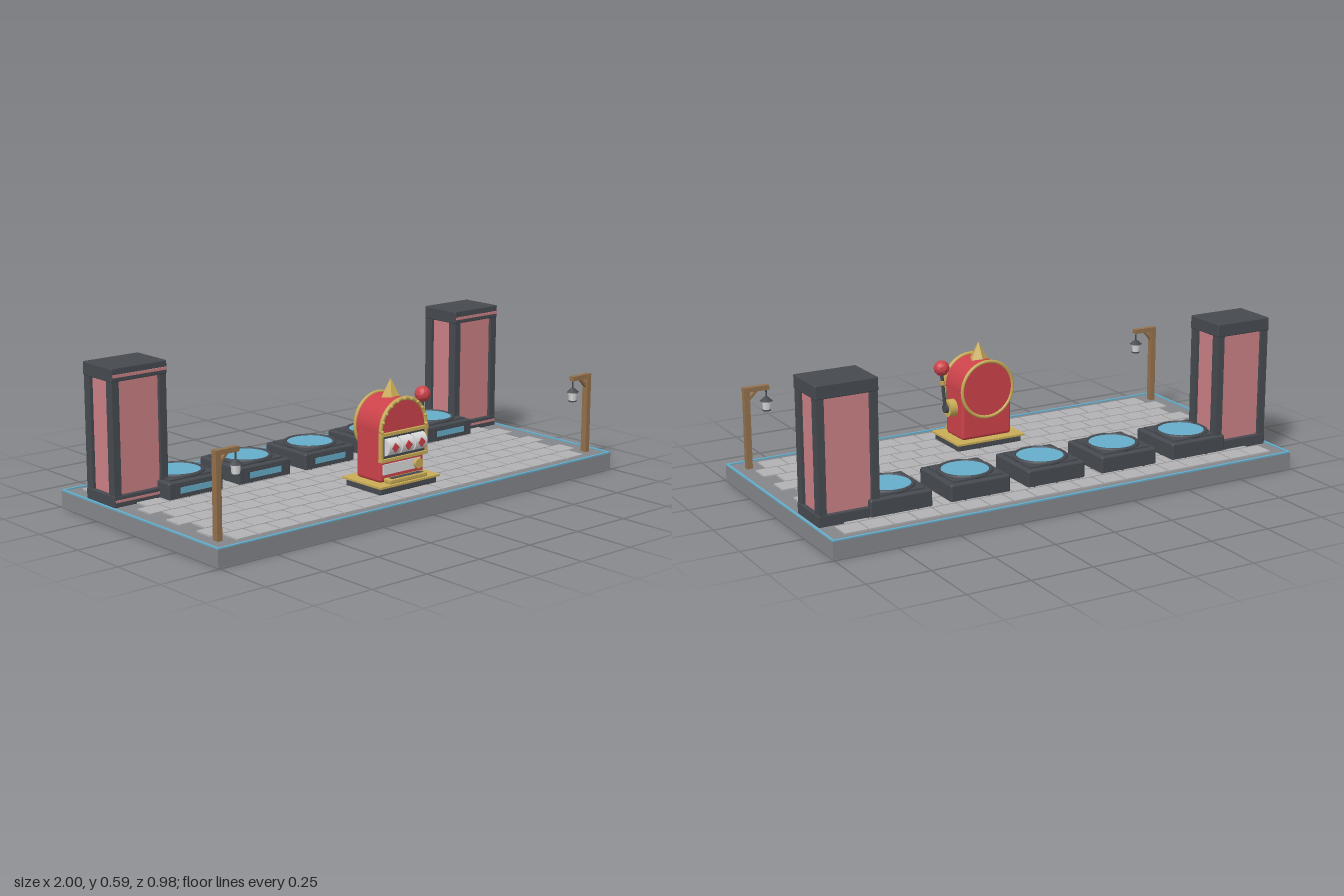
import * as THREE from 'three';
import { RoundedBoxGeometry } from 'three/addons/geometries/RoundedBoxGeometry.js';

const mat = (name, color) => {
  const m = new THREE.MeshStandardMaterial({ color });
  m.name = name;
  return m;
};
const M = {
  stone: mat('stone grey', 0x84868a),
  tile: mat('paving grey', 0xb2b2b4),
  dark: mat('dark slate', 0x464a50),
  pink: mat('pink panel', 0xca8085),
  blue: mat('light blue', 0x66adca),
  red: mat('red', 0xcc424a),
  gold: mat('gold', 0xc9ac57),
  wood: mat('wood brown', 0x93714c),
  white: mat('pale silver', 0xdadada),
};

function add(parent, name, geo, material, x = 0, y = 0, z = 0) {
  const mesh = new THREE.Mesh(geo, material);
  mesh.name = name;
  mesh.position.set(x, y, z);
  parent.add(mesh);
  return mesh;
}
const box = (p, name, m, w, h, d, x, y, z) => add(p, name, new THREE.BoxGeometry(w, h, d), m, x, y, z);
const rbox = (p, name, m, w, h, d, x, y, z, r = 0.006) =>
  add(p, name, new RoundedBoxGeometry(w, h, d, 2, r), m, x, y, z);
const cyl = (p, name, m, r0, r1, h, x, y, z, n = 24) =>
  add(p, name, new THREE.CylinderGeometry(r0, r1, h, n), m, x, y, z);
function group(parent, name, x = 0, y = 0, z = 0) {
  const g = new THREE.Group();
  g.name = name;
  g.position.set(x, y, z);
  parent.add(g);
  return g;
}

// Slab with a blue edge strip and staggered paving
function buildPlatform(root) {
  const g = group(root, 'platform');
  box(g, 'slab', M.stone, 2, 0.066, 0.98, 0, 0.033, 0);
  for (const s of [-1, 1]) {
    box(g, 'edgeStripLong', M.blue, 2, 0.006, 0.01, 0, 0.068, s * 0.485);
    box(g, 'edgeStripShort', M.blue, 0.01, 0.006, 0.96, s * 0.995, 0.068, 0);
  }
  let seed = 7;
  const rnd = () => (seed = (seed * 16807) % 2147483647) / 2147483647;
  for (let row = 0; row < 10; row++) {
    const half = row % 2 ? 0.888 : 0.936;
    const count = row % 2 ? 18 : 19;
    const pitch = (2 * half) / count;
    for (let i = 0; i < count; i++) {
      const w = pitch - 0.004 - rnd() * 0.006;
      box(g, 'pavingStone', M.tile, w, 0.006, 0.083, -half + (i + 0.5) * pitch, 0.069, -0.405 + row * 0.09);
    }
  }
}

// Tall pillar with corner posts and recessed panels
function buildPillar(root, side) {
  const g = group(root, side > 0 ? 'leftPillar' : 'rightPillar', side * 0.861, 0, -0.249);
  rbox(g, 'pillarFoot', M.dark, 0.246, 0.044, 0.184, 0, 0.088, 0, 0.004);
  rbox(g, 'pillarCap', M.dark, 0.246, 0.052, 0.186, 0, 0.564, 0, 0.004);
  box(g, 'pillarPanel', M.pink, 0.215, 0.44, 0.155, 0, 0.325, 0);
  for (const x of [-1, 1])
    for (const z of [-1, 1])
      box(g, 'cornerPost', M.dark, 0.03, 0.44, 0.038, x * 0.105, 0.325, z * 0.072);
  box(g, 'capStrip', M.pink, 0.236, 0.011, 0.008, 0, 0.56, 0.093);
  box(g, 'footStrip', M.pink, 0.236, 0.009, 0.006, 0, 0.09, 0.092);
}

// Square pad with a glowing disc
function buildPad(root, x) {
  const g = group(root, 'pad', x, 0, -0.222);
  rbox(g, 'padBlock', M.dark, 0.252, 0.07, 0.252, 0, 0.101, 0, 0.008);
  box(g, 'padTopPlate', M.dark, 0.21, 0.008, 0.21, 0, 0.138, 0);
  const ring = add(g, 'padRing', new THREE.TorusGeometry(0.099, 0.009, 8, 32), M.dark, 0, 0.142, 0);
  ring.rotation.x = Math.PI / 2;
  cyl(g, 'padDisc', M.blue, 0.092, 0.092, 0.008, 0, 0.142, 0, 32);
  box(g, 'padFrontFrame', M.dark, 0.19, 0.042, 0.004, 0, 0.102, 0.127);
  box(g, 'padFrontLight', M.blue, 0.155, 0.024, 0.005, 0, 0.102, 0.128);
}

// Wooden post with a hanging lantern, arm pointing inward
function buildLamp(root, side) {
  const g = group(root, side > 0 ? 'leftLamp' : 'rightLamp', side * 0.938, 0, 0.406);
  const inward = -side;
  box(g, 'lampPost', M.wood, 0.022, 0.325, 0.026, 0, 0.23, 0);
  box(g, 'lampArm', M.wood, 0.105, 0.018, 0.022, inward * 0.04, 0.383, 0);
  const brace = box(g, 'lampBrace', M.wood, 0.05, 0.01, 0.014, inward * 0.024, 0.358, 0);
  brace.rotation.z = inward * Math.PI / 4;
  const lx = inward * 0.083;
  cyl(g, 'lanternHook', M.dark, 0.003, 0.003, 0.04, lx, 0.358, 0, 6);
  cyl(g, 'lanternRoof', M.dark, 0.006, 0.027, 0.018, lx, 0.336, 0, 6);
  cyl(g, 'lanternGlass', M.white, 0.018, 0.015, 0.036, lx, 0.31, 0, 6);
  cyl(g, 'lanternBase', M.dark, 0.017, 0.017, 0.005, lx, 0.291, 0, 6);
}

function buildMachine(root) {
  const g = group(root, 'slotMachine', 0, 0, 0.258);
  const archY = 0.305;

  // Plinth and cabinet
  rbox(g, 'plinth', M.dark, 0.288, 0.028, 0.2, 0, 0.083, 0.007, 0.006);
  box(g, 'plinthPlate', M.gold, 0.305, 0.008, 0.222, 0, 0.101, 0.006);
  rbox(g, 'cabinet', M.red, 0.226, 0.205, 0.138, 0, 0.206, 0, 0.014);
  const drum = cyl(g, 'archedTop', M.red, 0.113, 0.113, 0.148, 0, archY, 0, 40);
  drum.rotation.x = Math.PI / 2;

  // Gold hoops and bulbs
  add(g, 'backHoop', new THREE.TorusGeometry(0.114, 0.007, 8, 40), M.gold, 0, archY, -0.073);
  add(g, 'frontHoop', new THREE.TorusGeometry(0.114, 0.008, 8, 32, Math.PI), M.gold, 0, archY, 0.073);
  for (let i = 0; i <= 10; i++) {
    const a = (i / 10) * Math.PI;
    add(g, 'bulb', new THREE.SphereGeometry(0.007, 8, 6), M.gold,
      0.113 * Math.cos(a), archY + 0.113 * Math.sin(a), 0.08);
  }

  // Five-sided spire
  const spire = add(g, 'spire', new THREE.ConeGeometry(0.039, 0.075, 5).toNonIndexed(), M.gold, 0, 0.448, 0);
  spire.geometry.computeVertexNormals();
  spire.rotation.y = Math.PI;

  // Reel window
  box(g, 'reelBacking', M.dark, 0.224, 0.092, 0.012, 0, 0.242, 0.07);
  for (const y of [0.293, 0.193])
    box(g, 'reelFrameBar', M.gold, 0.236, 0.012, 0.022, 0, y, 0.075);
  for (const s of [-1, 1])
    box(g, 'reelFrameSide', M.gold, 0.01, 0.09, 0.016, s * 0.113, 0.243, 0.073);
  for (let i = -1; i <= 1; i++) {
    const reel = cyl(g, 'reel', M.white, 0.034, 0.034, 0.06, i * 0.067, 0.243, 0.071, 24);
    reel.rotation.z = Math.PI / 2;
    // Plain diamond mark
    const mark = box(g, 'reelMark', M.red, 0.026, 0.026, 0.006, i * 0.067, 0.243, 0.104);
    mark.rotation.z = Math.PI / 4;
  }

  // Control panel, coin button and tray
  box(g, 'controlPanel', M.white, 0.19, 0.04, 0.008, -0.005, 0.155, 0.07);
  const button = cyl(g, 'coinButton', M.gold, 0.02, 0.02, 0.018, 0.072, 0.155, 0.078, 16);
  button.rotation.x = Math.PI / 2;
  rbox(g, 'tray', M.gold, 0.19, 0.018, 0.04, 0, 0.114, 0.088, 0.005);
  box(g, 'traySlot', M.dark, 0.16, 0.004, 0.022, 0, 0.122, 0.09);

  // Side lever
  const hub = cyl(g, 'leverHub', M.gold, 0.035, 0.035, 0.034, 0.128, 0.228, 0, 20);
  const cap = cyl(g, 'leverHubCap', M.dark, 0.018, 0.018, 0.014, 0.15, 0.228, 0, 16);
  hub.rotation.z = cap.rotation.z = Math.PI / 2;
  const rod = cyl(g, 'leverRod', M.dark, 0.007, 0.007, 0.16, 0.16, 0.302, 0, 10);
  const collar = cyl(g, 'leverCollar', M.gold, 0.01, 0.01, 0.018, 0.163, 0.337, 0, 10);
  rod.rotation.z = collar.rotation.z = -0.1;
  const ball = add(g, 'leverBall', new THREE.IcosahedronGeometry(0.032, 1), M.red, 0.167, 0.398, 0);
  ball.geometry.computeVertexNormals();
}

export function createModel() {
  const root = new THREE.Group();
  root.name = 'arcadePlaza';
  buildPlatform(root);
  for (let i = -2; i <= 2; i++) buildPad(root, i * 0.328);
  for (const side of [-1, 1]) {
    buildPillar(root, side);
    buildLamp(root, side);
  }
  buildMachine(root);
  return root;
}
